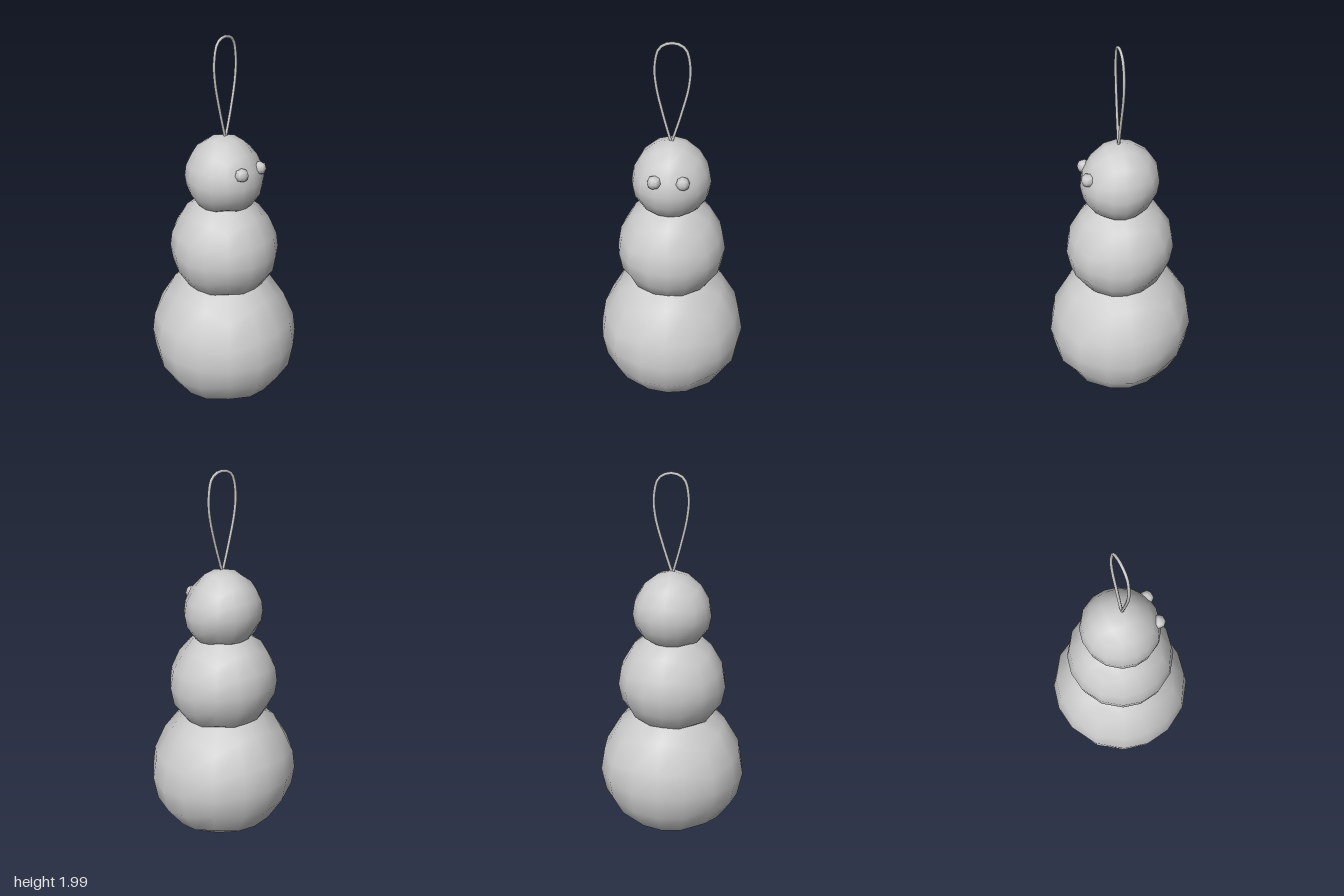
import * as THREE from 'three';
import { mergeVertices } from 'three/addons/utils/BufferGeometryUtils.js';

const material = new THREE.MeshStandardMaterial({ color: 0xcccccc });

// Low-poly ball made by rounding a subdivided cube; sag lowers its front and sides a little
function ball(name, radius, segments, sag = 0) {
  let geometry = new THREE.BoxGeometry(2, 2, 2, segments, segments, segments);
  geometry.deleteAttribute('uv');
  geometry.deleteAttribute('normal');
  geometry = mergeVertices(geometry);
  const pos = geometry.attributes.position;
  const v = new THREE.Vector3();
  const warp = (c) => (Math.abs(c) === 0.5 ? Math.sign(c) * 0.378 : c);
  for (let i = 0; i < pos.count; i++) {
    v.fromBufferAttribute(pos, i);
    v.set(warp(v.x), warp(v.y), warp(v.z)).normalize();
    const frontWeight = THREE.MathUtils.clamp(1 + v.z, 0, 1);
    v.y -= sag * frontWeight * (1 - Math.abs(v.y) ** 3);
    pos.setXYZ(i, v.x * radius, v.y * radius, v.z * radius);
  }
  geometry.computeVertexNormals();
  const mesh = new THREE.Mesh(geometry, material);
  mesh.name = name;
  return mesh;
}

export function createModel() {
  const model = new THREE.Group();
  model.name = 'snowmanOrnament';

  // Three stacked snowballs: name, radius, centre height
  for (const [name, radius, y] of [
    ['lowerBody', 0.397, 0.4],
    ['middleBody', 0.286, 0.915],
    ['head', 0.203, 1.302],
  ]) {
    const snowball = ball(name, radius, 4, 0.125);
    snowball.position.y = y;
    model.add(snowball);
  }

  // Eyes, half sunk into the head
  for (const side of [1, -1]) {
    const eye = ball(side > 0 ? 'leftEye' : 'rightEye', 0.036, 2);
    eye.position.set(side * 0.07, 1.35, 0.171);
    eye.rotation.y = side * 0.38;
    model.add(eye);
  }

  // Hanging loop of thin cord, slightly twisted out of its plane
  const path = new THREE.CatmullRomCurve3(
    [
      [0.003, 1.495, 0.006], [0.048, 1.64, 0.002], [0.083, 1.78, -0.003], [0.088, 1.88, -0.004],
      [0.064, 1.965, -0.001], [0.005, 1.99, 0.002], [-0.055, 1.967, 0.004], [-0.079, 1.88, 0.004],
      [-0.073, 1.78, 0.004], [-0.042, 1.64, 0.005], [-0.003, 1.495, 0.006],
    ].map((p) => new THREE.Vector3(...p))
  );
  const loop = new THREE.Mesh(new THREE.TubeGeometry(path, 40, 0.0075, 6), material);
  loop.name = 'hangingLoop';
  model.add(loop);

  return model;
}
